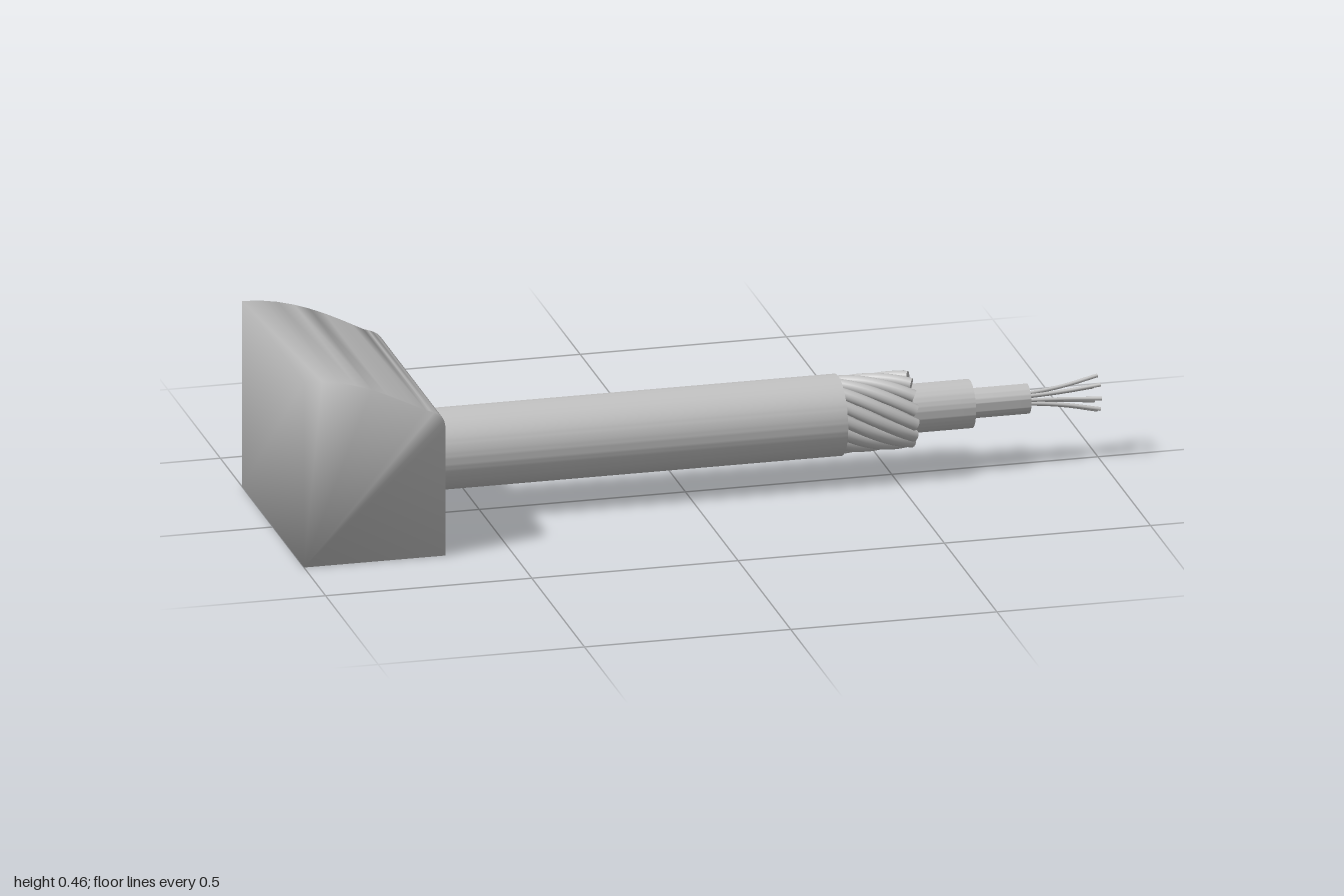
import * as THREE from 'three';
import { mergeVertices, toCreasedNormals } from 'three/addons/utils/BufferGeometryUtils.js';

const AXIS_Y = 0.16;

export function createModel() {
  const model = new THREE.Group();
  model.name = 'cutawayCable';
  const grey = new THREE.MeshStandardMaterial({ color: 0xc4c4c4 });
  grey.name = 'grey';

  const add = (name, geometry, parent = model) => {
    const mesh = new THREE.Mesh(geometry, grey);
    mesh.name = name;
    parent.add(mesh);
    return mesh;
  };

  // Wall block: extruded side profile, shaded softly over its edges
  const profile = new THREE.Shape();
  profile.moveTo(-1, 0);
  profile.lineTo(-0.657, 0);
  profile.lineTo(-0.657, 0.315);
  profile.bezierCurveTo(-0.657, 0.35, -0.675, 0.357, -0.705, 0.366);
  profile.bezierCurveTo(-0.78, 0.405, -0.88, 0.462, -1, 0.462);
  let block = new THREE.ExtrudeGeometry(profile, { depth: 0.59, bevelEnabled: false, curveSegments: 8 });
  block.translate(0, 0, -0.295);
  block.deleteAttribute('normal');
  block.deleteAttribute('uv');
  block = mergeVertices(block, 1e-4);
  block.computeVertexNormals();
  add('wallBlock', block);

  // Everything on the cable axis, which runs along x
  const cable = new THREE.Group();
  cable.name = 'cable';
  cable.position.y = AXIS_Y;
  model.add(cable);

  const collar = new THREE.TorusGeometry(0.1155, 0.0165, 16, 64);
  collar.rotateY(Math.PI / 2);
  add('collarRing', collar, cable).position.x = -0.657;

  // Hollow pipe from x0 to x1
  const pipe = (name, x0, x1, outer, inner) => {
    const ring = new THREE.Shape().absarc(0, 0, outer, 0, Math.PI * 2, false);
    ring.holes.push(new THREE.Path().absarc(0, 0, inner, 0, Math.PI * 2, true));
    let g = new THREE.ExtrudeGeometry(ring, { depth: x1 - x0, bevelEnabled: false, curveSegments: 48 });
    g = toCreasedNormals(g, 0.6);
    g.rotateY(Math.PI / 2);
    add(name, g, cable).position.x = x0;
  };
  pipe('outerSheath', -0.67, 0.37, 0.097, 0.0935);
  pipe('bedding', 0.2, 0.54, 0.0635, 0.056);
  pipe('insulation', 0.2, 0.69, 0.058, 0.043);
  pipe('innerInsulation', 0.4, 0.83, 0.0355, 0.026);

  // Round strand along a curve, with a flat disc on its end
  const strand = (name, curve, radius, steps, sides, parent) => {
    const group = new THREE.Group();
    group.name = name;
    parent.add(group);
    add('strandBody', new THREE.TubeGeometry(curve, steps, radius, sides), group);
    const cap = add('strandEnd', new THREE.CircleGeometry(radius, sides), group);
    cap.position.copy(curve.getPoint(1));
    cap.quaternion.setFromUnitVectors(new THREE.Vector3(0, 0, 1), curve.getTangent(1));
  };

  // Armour: fourteen wires wound around the bedding
  const armour = new THREE.Group();
  armour.name = 'armourWires';
  cable.add(armour);
  const COUNT = 14, TWIST = 7, START = 0.3, END = 0.54;
  for (let i = 0; i < COUNT; i++) {
    const points = [];
    for (let j = 0; j <= 12; j++) {
      const x = START + (END - START) * j / 12;
      const a = -0.045 + i * Math.PI * 2 / COUNT + TWIST * (x - END);
      points.push(new THREE.Vector3(x, 0.078 * Math.cos(a), 0.078 * Math.sin(a)));
    }
    strand('armourWire', new THREE.CatmullRomCurve3(points), 0.0145, 24, 14, armour);
  }

  // Conductor: eight fine wires fanning out at the tip
  const conductor = new THREE.Group();
  conductor.name = 'conductorWires';
  cable.add(conductor);
  const fan = [[0.6, 0.012], [0.78, 0.012], [0.84, 0.014], [0.92, 0.025], [0.999, 0.043]];
  for (let i = 0; i < 8; i++) {
    const a = i * Math.PI / 4;
    const points = fan.map(([x, r]) => new THREE.Vector3(x, r * Math.cos(a), r * Math.sin(a)));
    strand('conductorWire', new THREE.CatmullRomCurve3(points), 0.0045, 24, 10, conductor);
  }

  // Backing discs closing the hollow layers
  for (const [x, r] of [[0.32, 0.0935], [0.6, 0.043], [0.7, 0.026]]) {
    const disc = new THREE.CircleGeometry(r, 48);
    disc.rotateY(Math.PI / 2);
    add('backingDisc', disc, cable).position.x = x;
  }
  return model;
}
